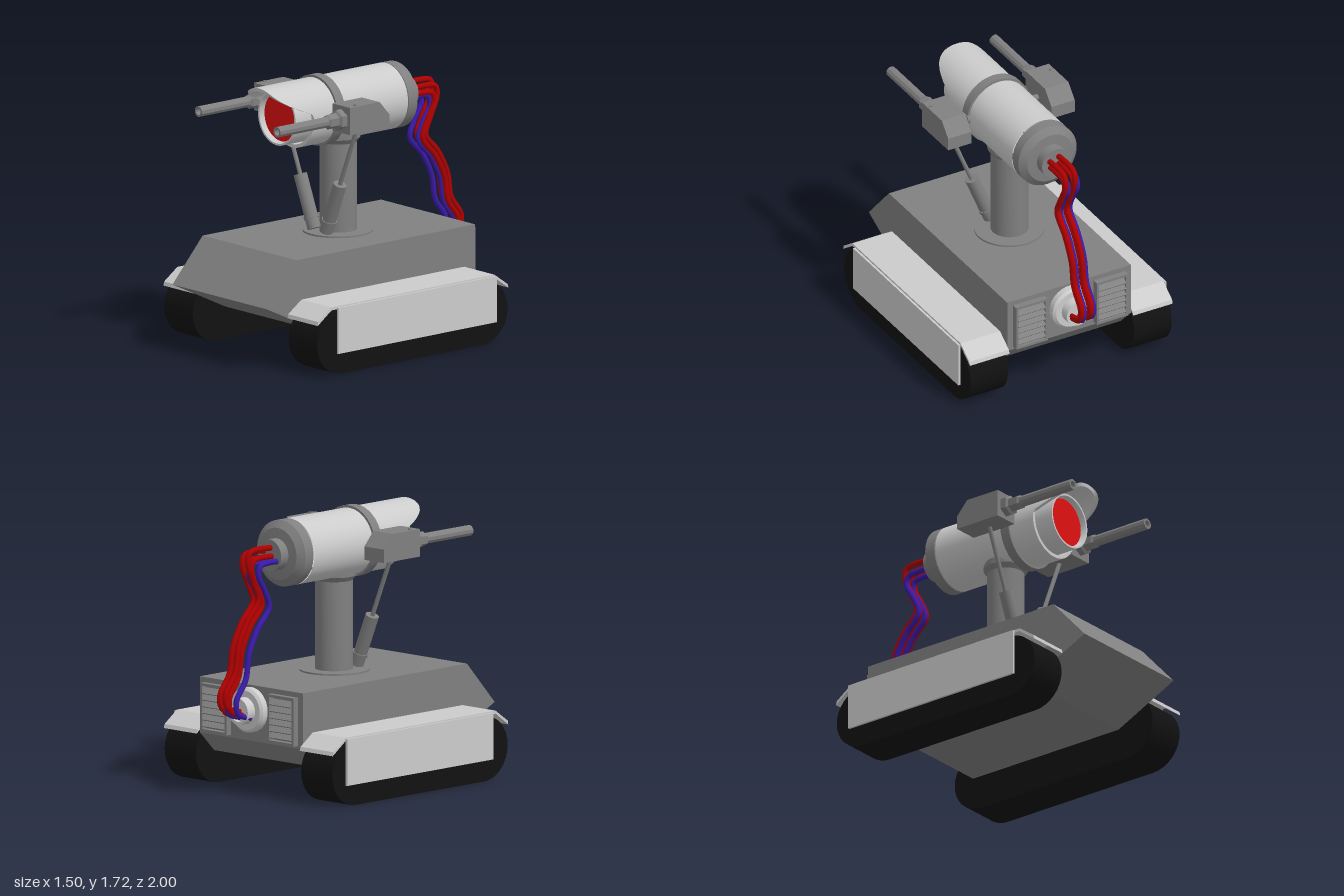
import * as THREE from 'three';
import { toCreasedNormals } from 'three/addons/utils/BufferGeometryUtils.js';

const mat = (color) => new THREE.MeshStandardMaterial({ color, side: THREE.DoubleSide });
const LIGHT = mat(0xcccccc), DARK = mat(0x808080), BLACK = mat(0x111111);
const RED = mat(0xe01010), CABLE_RED = mat(0xb00000), CABLE_BLUE = mat(0x3a1aa8);

export function createModel() {
  const model = new THREE.Group();
  const add = (name, geo, material, x = 0, y = 0, z = 0) => {
    const mesh = new THREE.Mesh(geo, material);
    mesh.name = name;
    mesh.position.set(x, y, z);
    model.add(mesh);
    return mesh;
  };
  // Side profile of [z, y] points, extruded across x and centred on x = 0
  const slab = (points, width) => {
    const shape = new THREE.Shape(points.map(([z, y]) => new THREE.Vector2(z, y)));
    const geo = new THREE.ExtrudeGeometry(shape, { depth: width, bevelEnabled: false });
    return geo.translate(0, 0, -width / 2).rotateY(-Math.PI / 2);
  };
  // Turned part: [radius, position] points; about z unless upright
  const turned = (points, sides = 40, upright = false) => {
    const geo = new THREE.LatheGeometry(points.map(([r, p]) => new THREE.Vector2(r, p)), sides);
    if (!upright) geo.rotateX(Math.PI / 2);
    return toCreasedNormals(geo, 0.5);
  };
  // Straight rod between two points
  const rod = (name, a, b, r, material, sides = 20) => {
    const d = b.clone().sub(a);
    const mesh = add(name, new THREE.CylinderGeometry(r, r, d.length(), sides), material);
    mesh.position.copy(a).lerp(b, 0.5);
    mesh.quaternion.setFromUnitVectors(new THREE.Vector3(0, 1, 0), d.normalize());
  };

  // Hull
  add('hull', slab([[1, 0.42], [0.75, 0.695], [-0.73, 0.695], [-0.73, 0.34],
    [-0.6, 0.21], [0.56, 0.21]], 0.89), DARK);

  // Tracks, fenders and skirts
  const trackShape = [];
  for (let i = 0; i <= 16; i++) {
    const a = -Math.PI / 2 + (Math.PI * i) / 16;
    trackShape.push([0.615 + 0.21 * Math.cos(a), 0.21 + 0.205 * Math.sin(a)]);
  }
  for (let i = 0; i <= 16; i++) {
    const a = Math.PI / 2 + (Math.PI * i) / 16;
    trackShape.push([-0.545 + 0.21 * Math.cos(a), 0.21 + 0.205 * Math.sin(a)]);
  }
  trackShape.forEach((p) => { p[1] -= 0.005; });
  const trackGeo = toCreasedNormals(slab(trackShape, 0.27), 0.5);
  const fenderGeo = slab([[0.825, 0.335], [0.82, 0.36], [0.71, 0.437], [-0.64, 0.437], [-0.75, 0.36],
    [-0.758, 0.335], [-0.64, 0.418], [0.71, 0.418]], 0.285);
  const skirtGeo = slab([[0.67, 0.135], [0.67, 0.43], [-0.645, 0.43], [-0.645, 0.135]], 0.015);

  // Gun housing, barrel and collar
  const gunBoxGeo = slab([[0.315, 1.43], [0.315, 1.605], [0.07, 1.605], [-0.01, 1.515], [-0.01, 1.43]], 0.168);
  const barrelGeo = turned([[0, 0.4], [0.035, 0.4], [0.035, 0.85], [0.022, 0.85], [0.022, 0.8], [0, 0.8]], 10);
  const collarGeo = turned([[0.066, 0.315], [0.066, 0.355], [0.048, 0.365], [0.048, 0.43], [0.035, 0.445]], 6);

  for (const s of [1, -1]) {
    const side = s > 0 ? 'left' : 'right';
    add(side + 'Track', trackGeo, BLACK, s * 0.59);
    add(side + 'Fender', fenderGeo, LIGHT, s * 0.588);
    add(side + 'Skirt', skirtGeo, LIGHT, s * 0.742);

    add(side + 'GunHousing', gunBoxGeo, DARK, s * 0.372);
    add(side + 'GunBarrel', barrelGeo, DARK, s * 0.372, 1.518);
    add(side + 'GunCollar', collarGeo, DARK, s * 0.372, 1.518);
    add(side + 'GunBolt', new THREE.CylinderGeometry(0.01, 0.01, 0.012, 10), DARK, s * 0.43, 1.608, 0.25);
    const v = (x, y) => new THREE.Vector3(s * x, y, 0.165);
    rod(side + 'GunMount', v(0.2, 1.495), v(0.3, 1.495), 0.02, DARK);
    rod(side + 'GunMountCollar', v(0.2, 1.495), v(0.228, 1.495), 0.03, DARK);

    // Hydraulic strut
    rod(side + 'StrutCylinder', v(0.055, 0.72), v(0.188, 1.045), 0.043, DARK);
    rod(side + 'StrutRing', v(0.079, 0.778), v(0.087, 0.798), 0.049, DARK);
    rod(side + 'StrutRod', v(0.185, 1.035), v(0.352, 1.44), 0.014, DARK, 12);

    // Rear louvred vent
    const vx = s * 0.29;
    for (const e of [1, -1]) {
      add(side + 'VentFrameSide', new THREE.BoxGeometry(0.016, 0.29, 0.04), DARK, vx + e * 0.105, 0.51, -0.75);
      add(side + 'VentFrameEdge', new THREE.BoxGeometry(0.226, 0.016, 0.04), DARK, vx, 0.51 + e * 0.145, -0.75);
    }
    for (let i = 0; i < 6; i++) {
      const slat = add(side + 'VentSlat', new THREE.BoxGeometry(0.2, 0.008, 0.05), DARK, vx, 0.405 + i * 0.042, -0.752);
      slat.rotation.x = -0.7;
    }
  }

  // Turntable and column
  add('turntable', new THREE.CylinderGeometry(0.22, 0.22, 0.012, 48), DARK, 0, 0.7, 0.02);
  add('column', turned([[0.118, 0.7], [0.118, 1.27], [0.14, 1.3], [0.14, 1.34]], 40, true), DARK, 0, 0, 0.015);

  // Head casing: the front rim is swept forward at the top to form a hood
  const AXIS = 1.495;
  const casing = new THREE.LatheGeometry([[0.21, -0.38], [0.21, 0.4], [0.188, 0.4], [0.188, 0.1]]
    .map(([r, p]) => new THREE.Vector2(r, p)), 64).rotateX(Math.PI / 2);
  const pos = casing.attributes.position;
  for (let i = 0; i < pos.count; i++) {
    if (pos.getZ(i) < 0.39) continue;
    const t = THREE.MathUtils.clamp((pos.getY(i) - 0.035) / 0.17, 0, 1);
    pos.setZ(i, 0.4 + 0.27 * Math.sin((t * Math.PI) / 2));
  }
  add('headCasing', toCreasedNormals(casing, 0.5), LIGHT, 0, AXIS);
  add('headBand', turned([[0.2, 0.15], [0.225, 0.15], [0.225, 0.215], [0.2, 0.215]], 48), DARK, 0, AXIS);
  add('headBackCap', turned([[0, -0.565], [0.06, -0.565], [0.1, -0.565], [0.1, -0.5], [0.165, -0.495],
    [0.21, -0.46], [0.21, -0.388], [0.195, -0.38], [0, -0.38]], 48), DARK, 0, AXIS);

  // Lens
  add('lensRing', turned([[0.178, 0.3], [0.178, 0.525], [0.166, 0.525], [0.156, 0.5], [0.156, 0.47]], 48), LIGHT, 0, AXIS);
  add('lens', new THREE.CircleGeometry(0.158, 48), RED, 0, AXIS, 0.49);

  // Rear cable socket
  add('rearSocket', turned([[0, -0.83], [0.06, -0.83], [0.065, -0.85], [0.085, -0.85], [0.085, -0.785],
    [0.125, -0.785], [0.142, -0.77], [0.142, -0.73]]), LIGHT, 0, 0.54);

  // Cables: one path [z, y], shifted for each strand
  const path = [[-0.54, 1.5], [-0.64, 1.505], [-0.73, 1.49], [-0.745, 1.43], [-0.69, 1.31], [-0.65, 1.2],
    [-0.75, 1.08], [-0.83, 0.93], [-0.86, 0.77], [-0.945, 0.64], [-0.93, 0.56], [-0.82, 0.52]];
  const strands = [
    [-0.015, 0.045, -0.032, CABLE_RED], [0.045, 0.02, -0.02, CABLE_RED],
    [-0.02, -0.01, -0.005, CABLE_RED], [0.04, -0.025, 0, CABLE_RED],
    [-0.06, -0.04, 0.018, CABLE_BLUE], [0.012, -0.048, 0.01, CABLE_BLUE],
  ];
  for (const [x, dy, dz, material] of strands) {
    const curve = new THREE.CatmullRomCurve3(path.map(([z, y], i) => {
      const k = i < 4 ? 1 : 0.5;
      return new THREE.Vector3(x, y + dy * k, z + dz);
    }));
    add('cable', new THREE.TubeGeometry(curve, 60, 0.018, 10), material);
  }
  return model;
}
